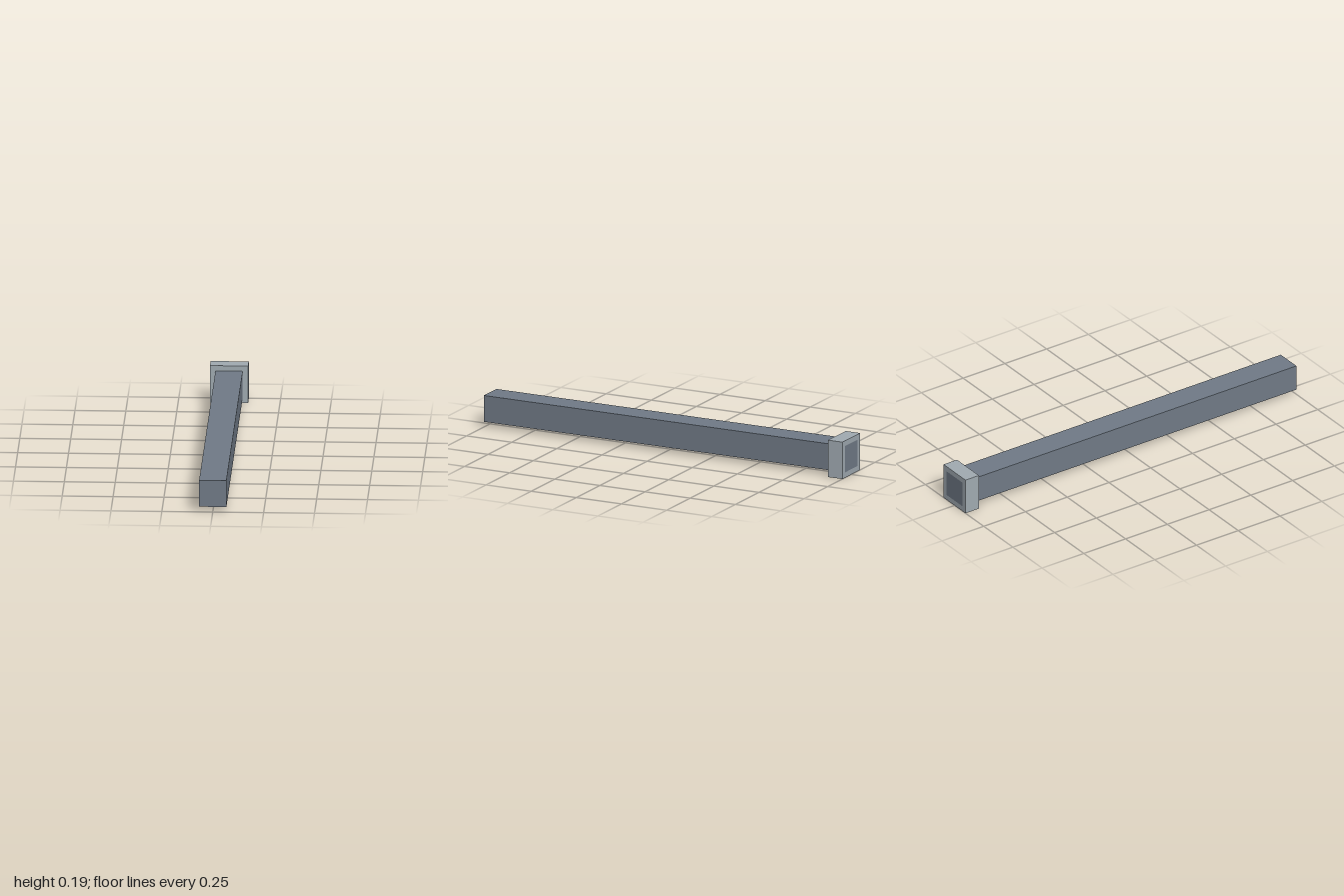
import * as THREE from 'three';

const SHAFT = 0.134, COLLAR = 0.188, COLLAR_DEPTH = 0.08, LENGTH = 2;

// Adds the four corners of a centred square to a shape or path
function square(path, size) {
  const h = size / 2;
  path.moveTo(-h, -h);
  path.lineTo(h, -h);
  path.lineTo(h, h);
  path.lineTo(-h, h);
  path.closePath();
  return path;
}

export function createModel() {
  const group = new THREE.Group();
  group.name = 'squareBeam';

  // Long square shaft, running flush through the collar
  const shaft = new THREE.Mesh(
    new THREE.BoxGeometry(SHAFT, SHAFT, LENGTH),
    new THREE.MeshStandardMaterial({ color: 0x707a86 })
  );
  shaft.name = 'shaft';
  shaft.position.y = COLLAR / 2;
  group.add(shaft);

  // Square collar around the back end, with an opening for the shaft
  const outline = square(new THREE.Shape(), COLLAR);
  outline.holes.push(square(new THREE.Path(), SHAFT));
  const collar = new THREE.Mesh(
    new THREE.ExtrudeGeometry(outline, { depth: COLLAR_DEPTH, bevelEnabled: false }),
    new THREE.MeshStandardMaterial({ color: 0xa0aab1 })
  );
  collar.name = 'collar';
  collar.position.set(0, COLLAR / 2, -LENGTH / 2);
  group.add(collar);

  return group;
}
